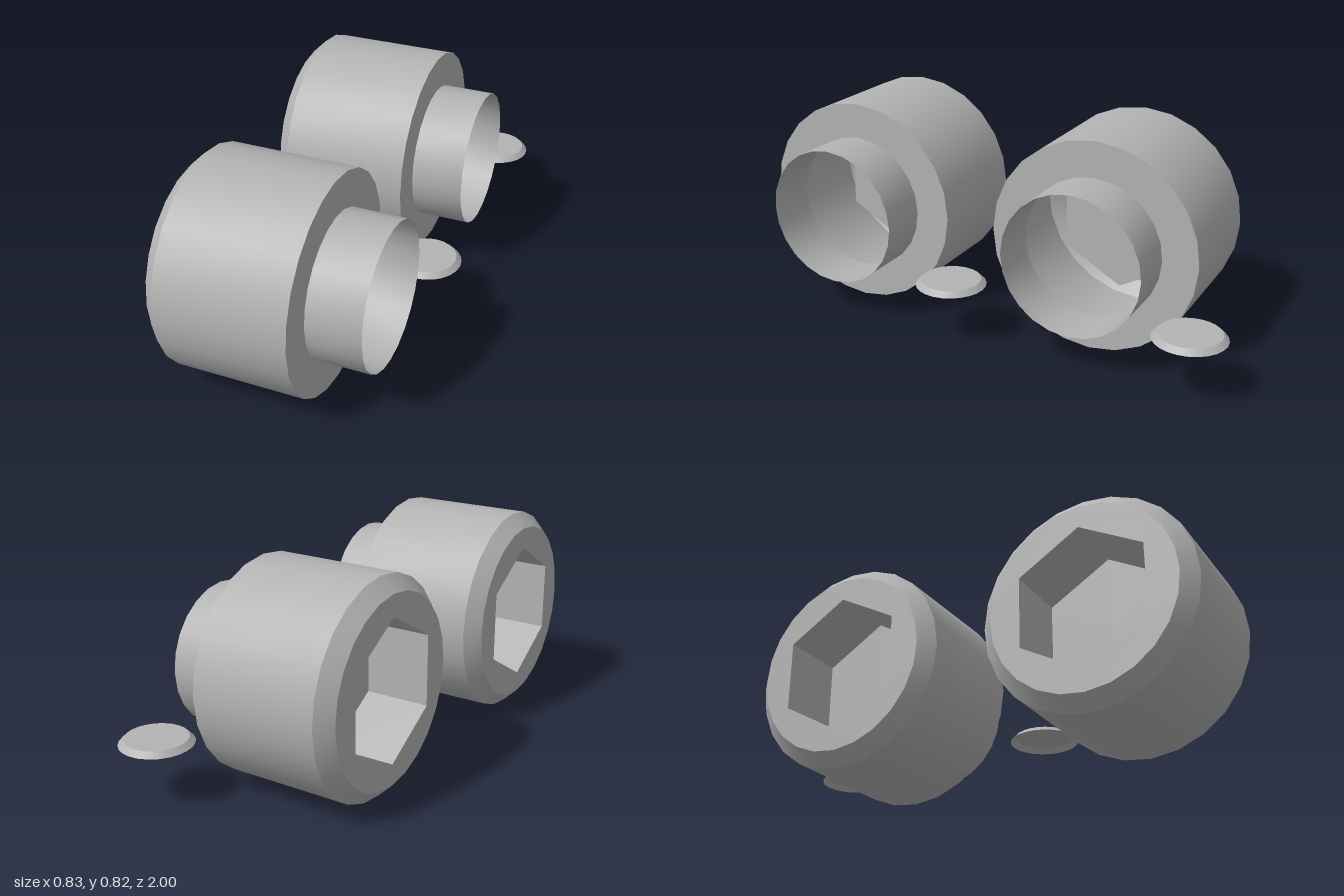
import * as THREE from 'three';
import { toCreasedNormals } from 'three/addons/utils/BufferGeometryUtils.js';

const SIDES = 24;
const AXIS_Y = 0.408; // height of the screw axis
const BACK = -0.415, CHAMFER = -0.362, SHOULDER = 0.127, TIP = 0.33;
const HEAD_R = 0.408, FACE_R = 0.355, STUB_R = 0.271;
const HEX_R = 0.273, HEX_DEPTH = 0.25;

const steel = new THREE.MeshStandardMaterial({ color: 0xb3b3b3, side: THREE.DoubleSide });
steel.name = 'steel grey';

function part(name, geometry) {
  const mesh = new THREE.Mesh(geometry, steel);
  mesh.name = name;
  return mesh;
}

// Surface of revolution about the x axis from [radius, x] pairs
function turned(profile) {
  const g = new THREE.LatheGeometry(profile.map(([r, x]) => new THREE.Vector2(r, x)), SIDES);
  return toCreasedNormals(g.rotateZ(-Math.PI / 2), 0.5);
}

function ring(radius, sides, start = 0) {
  return Array.from({ length: sides }, (_, i) => {
    const a = start + (i / sides) * Math.PI * 2;
    return new THREE.Vector2(radius * Math.cos(a), radius * Math.sin(a));
  });
}

function createScrew() {
  const screw = new THREE.Group();
  screw.name = 'socketScrew';

  // Chamfered head, with the shoulder that closes it around the stub
  screw.add(part('head', turned([[FACE_R, BACK], [HEAD_R, CHAMFER], [HEAD_R, SHOULDER], [STUB_R, SHOULDER]])));

  // Open hollow stub
  screw.add(part('stub', turned([[STUB_R, SHOULDER], [STUB_R, TIP]])));

  // End face with a hexagonal opening
  const face = new THREE.Shape(ring(FACE_R, SIDES));
  face.holes.push(new THREE.Path(ring(HEX_R, 6, Math.PI / 2).reverse()));
  screw.add(part('endFace', new THREE.ShapeGeometry(face).rotateY(-Math.PI / 2).translate(BACK, 0, 0)));

  // Hexagonal recess: walls and floor
  const walls = new THREE.CylinderGeometry(HEX_R, HEX_R, HEX_DEPTH, 6, 1, true, Math.PI / 2)
    .rotateZ(-Math.PI / 2).translate(BACK + HEX_DEPTH / 2, 0, 0);
  screw.add(part('socketWalls', toCreasedNormals(walls, 0.5)));
  const floor = new THREE.CircleGeometry(HEX_R, 6, Math.PI / 2)
    .rotateY(-Math.PI / 2).translate(BACK + HEX_DEPTH, 0, 0);
  screw.add(part('socketFloor', floor));
  return screw;
}

// Small shallow cap, open underneath
function createCap() {
  const cap = new THREE.Group();
  cap.name = 'cap';
  cap.add(part('capRim', new THREE.CylinderGeometry(0.115, 0.135, 0.02, SIDES, 1, true)));
  cap.add(part('capTop', new THREE.CircleGeometry(0.115, SIDES).rotateX(-Math.PI / 2).translate(0, 0.01, 0)));
  return cap;
}

export function createModel() {
  const model = new THREE.Group();
  model.name = 'screwPair';
  for (const z of [0.592, -0.427]) {
    const screw = createScrew();
    screw.position.set(0, AXIS_Y, z);
    model.add(screw);
  }
  for (const z of [0.082, -0.865]) {
    const cap = createCap();
    cap.position.set(0.278, 0.228, z);
    model.add(cap);
  }
  return model;
}
